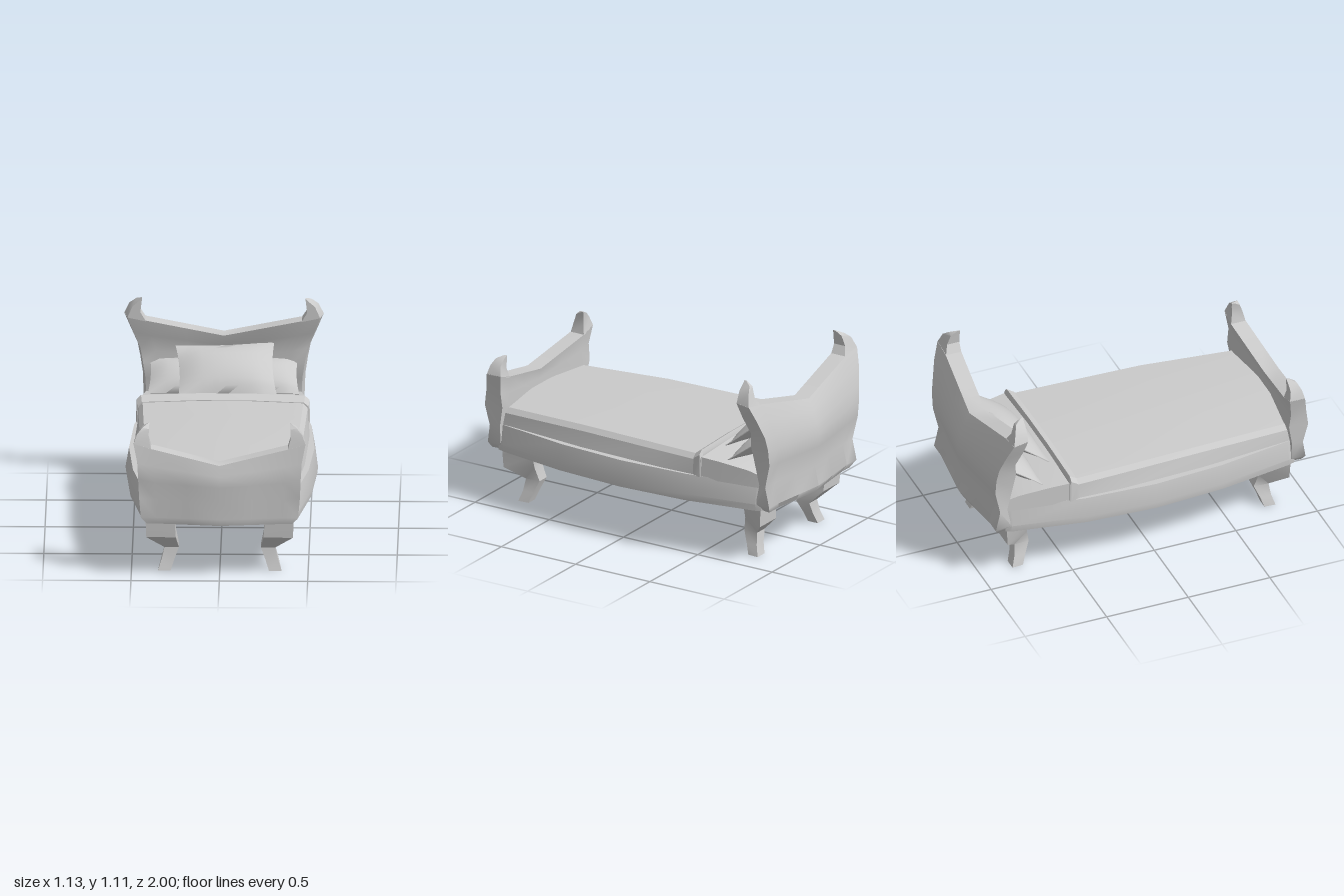
import * as THREE from 'three';
import { mergeVertices, toCreasedNormals } from 'three/addons/utils/BufferGeometryUtils.js';

const material = new THREE.MeshStandardMaterial({ color: 0xcccccc });

// Skins a row of closed loops; end caps join point i to point n-1-i.
function loft(loops, crease = 0.6) {
  const n = loops[0].length, last = loops.length - 1;
  const pos = loops.flat(2), idx = [];
  const quad = (a, b, c, d) => idx.push(a, b, c, a, c, d);
  for (let j = 0; j < last; j++) {
    for (let i = 0; i < n; i++) {
      const k = (i + 1) % n;
      quad(j * n + i, j * n + k, (j + 1) * n + k, (j + 1) * n + i);
    }
  }
  for (let i = 0; i < n / 2 - 1; i++) {
    quad(i, n - 1 - i, n - 2 - i, i + 1);
    const o = last * n;
    quad(o + i, o + i + 1, o + n - 2 - i, o + n - 1 - i);
  }
  // Turn the faces outward if the enclosed volume is negative
  const p = (i) => new THREE.Vector3().fromArray(pos, i * 3);
  let volume = 0;
  for (let i = 0; i < idx.length; i += 3) volume += p(idx[i]).dot(p(idx[i + 1]).cross(p(idx[i + 2])));
  if (volume < 0) idx.reverse();
  const g = new THREE.BufferGeometry();
  g.setAttribute('position', new THREE.Float32BufferAttribute(pos, 3));
  g.setIndex(idx);
  return toCreasedNormals(g, crease);
}

function add(parent, name, geometry) {
  const mesh = new THREE.Mesh(geometry, material);
  mesh.name = name;
  parent.add(mesh);
  return mesh;
}

// Curved end board: rows are [halfWidth, edgeY, innerY, centreY, innerZ, outerZ];
// horn rows are [innerX, innerY, outerX, outerY, innerZ, outerZ].
// The face toward the mattress is narrowed by the factor taper.
function endBoard(name, rows, horn, innerU, sign, taper) {
  const group = new THREE.Group();
  group.name = name;
  const columns = [-1, -innerU, -innerU / 2, 0, innerU / 2, innerU, 1];
  add(group, name + 'Panel', loft(columns.map((u) => {
    const a = Math.abs(u), bow = 0.04 * Math.max(0, 1 - a / innerU);
    const y = (r) => (a > innerU ? r[1] : THREE.MathUtils.lerp(r[3], r[2], a / innerU));
    const side = (k, f) => rows.map((r) => [u * r[0] * (a === 1 ? f : 1), y(r), sign * (r[k] + bow)]);
    return [...side(4, taper), ...side(5, 1).reverse()];
  }), 0.75));
  for (const s of [-1, 1]) {
    add(group, name + 'Horn', loft(horn.map(([xi, yi, xo, yo, zi, zo]) => [
      [s * xi, yi, sign * zi], [s * Math.max(xi, xo * taper), yo, sign * zi],
      [s * xo, yo, sign * zo], [s * xi, yi, sign * zo],
    ])));
  }
  return group;
}

// Long symmetric body: section(station) gives the [x, y] points of one side, bottom to top.
function longBody(stations, section) {
  return loft(stations.map((st) => {
    const half = section(...st);
    return [...half.map(([x, y]) => [-x, y, st[0]]), ...half.reverse().map(([x, y]) => [x, y, st[0]])];
  }), 0.35);
}

// Cushion with pointed corners, slightly concave edges and a plump middle
function pillowGeometry(w, h, t) {
  const g = new THREE.BoxGeometry(2, 2, 2, 8, 8, 1);
  g.deleteAttribute('uv');
  g.deleteAttribute('normal');
  const p = g.attributes.position;
  for (let i = 0; i < p.count; i++) {
    const x = p.getX(i), y = p.getY(i);
    const puff = Math.pow((1 - x * x) * (1 - y * y), 0.7) + 0.04;
    p.setXYZ(i, x * w / 2 * (0.94 + 0.06 * y * y), y * h / 2 * (0.94 + 0.06 * x * x), p.getZ(i) * t / 2 * puff);
  }
  return toCreasedNormals(mergeVertices(g), 0.9);
}

export function createModel() {
  const bed = new THREE.Group();
  bed.name = 'bed';

  // Bowed frame
  add(bed, 'frame', longBody(
    [[-0.88, 0.43], [-0.85, 0.445], [-0.42, 0.522], [0, 0.545], [0.42, 0.517], [0.85, 0.445], [0.89, 0.43]],
    (z, w) => [[w - 0.006, 0.32], [w, 0.36], [w - 0.02, 0.475]]));

  // Sheeted mattress at the head end
  add(bed, 'mattress', longBody(
    [[-0.88, 0.425, 0.53, 0.53], [-0.8, 0.44, 0.555, 0.56], [-0.62, 0.465, 0.578, 0.592], [-0.49, 0.484, 0.59, 0.61]],
    (z, w, y, crown) => [[w + 0.004, 0.46], [w, y], [0.14, crown]]));

  // Gently arched blanket with bevelled edges
  add(bed, 'blanket', longBody(
    [[-0.48, 0.486, 0.48, 0.605], [-0.2, 0.496, 0.472, 0.605], [0.3, 0.478, 0.455, 0.605], [0.88, 0.42, 0.412, 0.585]],
    (z, b, w, y) => [[b, 0.46], [w, y - 0.04], [w - 0.025, y - 0.012], [0.14, y]]));

  // Turned-down fold of the blanket
  add(bed, 'blanketFold', longBody(
    [[-0.512, 0.487, 0.612], [-0.503, 0.489, 0.637], [-0.46, 0.484, 0.609]],
    (z, w, y) => [[w + 0.004, 0.47], [w, y - 0.036], [w - 0.025, y - 0.012], [0.14, y]]));

  // Headboard
  bed.add(endBoard('headboard', [
    [0.42, 0.32, 0.32, 0.32, 0.85, 0.93],
    [0.455, 0.36, 0.36, 0.36, 0.85, 0.952],
    [0.455, 0.48, 0.48, 0.48, 0.875, 0.925],
    [0.46, 0.62, 0.61, 0.6, 0.845, 0.957],
    [0.475, 0.72, 0.7, 0.68, 0.83, 0.957],
    [0.49, 0.8, 0.78, 0.74, 0.84, 0.945],
    [0.53, 0.9, 0.88, 0.81, 0.81, 0.92],
    [0.565, 0.995, 0.975, 0.875, 0.79, 0.885],
  ], [
    [0.44, 0.97, 0.565, 0.993, 0.79, 0.885],
    [0.472, 1.025, 0.535, 1.06, 0.79, 0.865],
    [0.465, 1.085, 0.495, 1.093, 0.79, 0.845],
    [0.462, 1.11, 0.466, 1.11, 0.79, 0.805],
  ], 0.78, -1, 0.965));

  // Footboard
  bed.add(endBoard('footboard', [
    [0.41, 0.32, 0.32, 0.32, 0.86, 0.94],
    [0.445, 0.36, 0.36, 0.36, 0.865, 0.95],
    [0.455, 0.47, 0.46, 0.45, 0.865, 0.93],
    [0.46, 0.59, 0.57, 0.55, 0.845, 0.96],
    [0.465, 0.68, 0.66, 0.61, 0.855, 0.947],
    [0.487, 0.79, 0.76, 0.673, 0.84, 0.93],
  ], [
    [0.386, 0.755, 0.487, 0.788, 0.84, 0.93],
    [0.402, 0.815, 0.468, 0.84, 0.852, 0.918],
    [0.4, 0.868, 0.437, 0.876, 0.85, 0.9],
    [0.398, 0.89, 0.406, 0.892, 0.85, 0.865],
  ], 0.8, 1, 0.99));

  // Four bent legs, wider across their outer face: [y, innerX, outerX, narrowX, innerZ, outerZ]
  const legSections = [
    [0.33, 0.235, 0.42, 0.37, 0.695, 0.87],
    [0.29, 0.254, 0.418, 0.35, 0.712, 0.868],
    [0.215, 0.248, 0.415, 0.33, 0.71, 0.863],
    [0.13, 0.232, 0.313, 0.308, 0.69, 0.778],
    [0.06, 0.258, 0.33, 0.33, 0.72, 0.787],
    [0, 0.278, 0.35, 0.345, 0.74, 0.806],
  ];
  for (const sx of [-1, 1]) {
    for (const sz of [-1, 1]) {
      add(bed, sz > 0 ? 'frontLeg' : 'backLeg', loft(legSections.map(([y, xi, xo, xn, zi, zo]) => [
        [sx * xi, y, sz * zi], [sx * xn, y, sz * zi], [sx * xo, y, sz * zo], [sx * xi, y, sz * zo],
      ]), 0.6));
    }
  }

  // Pillows: one large in front, two leaning behind it
  const place = (name, size, position, tilt, roll) => {
    const pillow = add(bed, name, pillowGeometry(...size));
    pillow.position.set(...position);
    pillow.rotation.set(-tilt, 0, roll);
  };
  place('frontPillow', [0.56, 0.36, 0.12], [0.015, 0.715, -0.69], 0.9, 0.05);
  place('backPillow', [0.42, 0.27, 0.1], [-0.215, 0.66, -0.76], 0.95, -0.03);
  place('backPillow', [0.42, 0.27, 0.1], [0.215, 0.66, -0.76], 0.95, 0.03);

  return bed;
}
